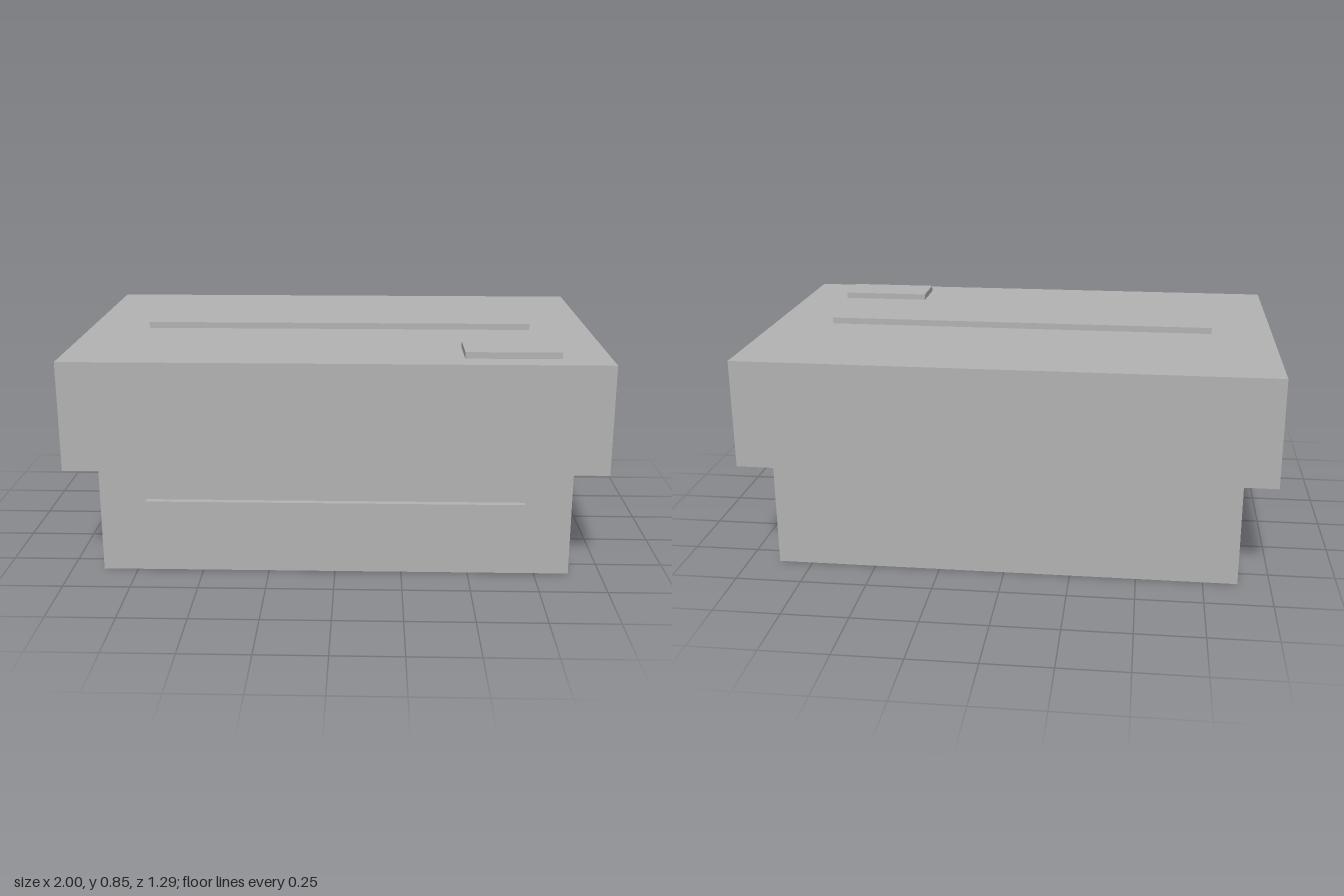
import * as THREE from 'three';

export function createModel() {
  const model = new THREE.Group();
  model.name = 'machine';

  const grey = new THREE.MeshStandardMaterial({ color: 0xb2b2b2 });
  grey.name = 'light grey';

  // Adds a box spanning min to max on each axis.
  function addBox(name, [x0, x1], [y0, y1], [z0, z1]) {
    const mesh = new THREE.Mesh(new THREE.BoxGeometry(x1 - x0, y1 - y0, z1 - z0), grey);
    mesh.name = name;
    mesh.position.set((x0 + x1) / 2, (y0 + y1) / 2, (z0 + z1) / 2);
    model.add(mesh);
  }

  // Main housing: narrower base under an overhanging upper body
  addBox('base', [-0.88, 0.88], [0, 0.414], [-0.588, 0.588]);
  addBox('upperBody', [-1, 1], [0.414, 0.825], [-0.647, 0.647]);

  // Raised details
  addBox('frontPanel', [-0.705, 0.705], [0.025, 0.284], [0.588, 0.613]);
  addBox('topStrip', [-0.763, 0.763], [0.825, 0.849], [-0.07, 0.07]);
  addBox('controlPad', [0.47, 0.82], [0.825, 0.849], [0.38, 0.556]);

  return model;
}
